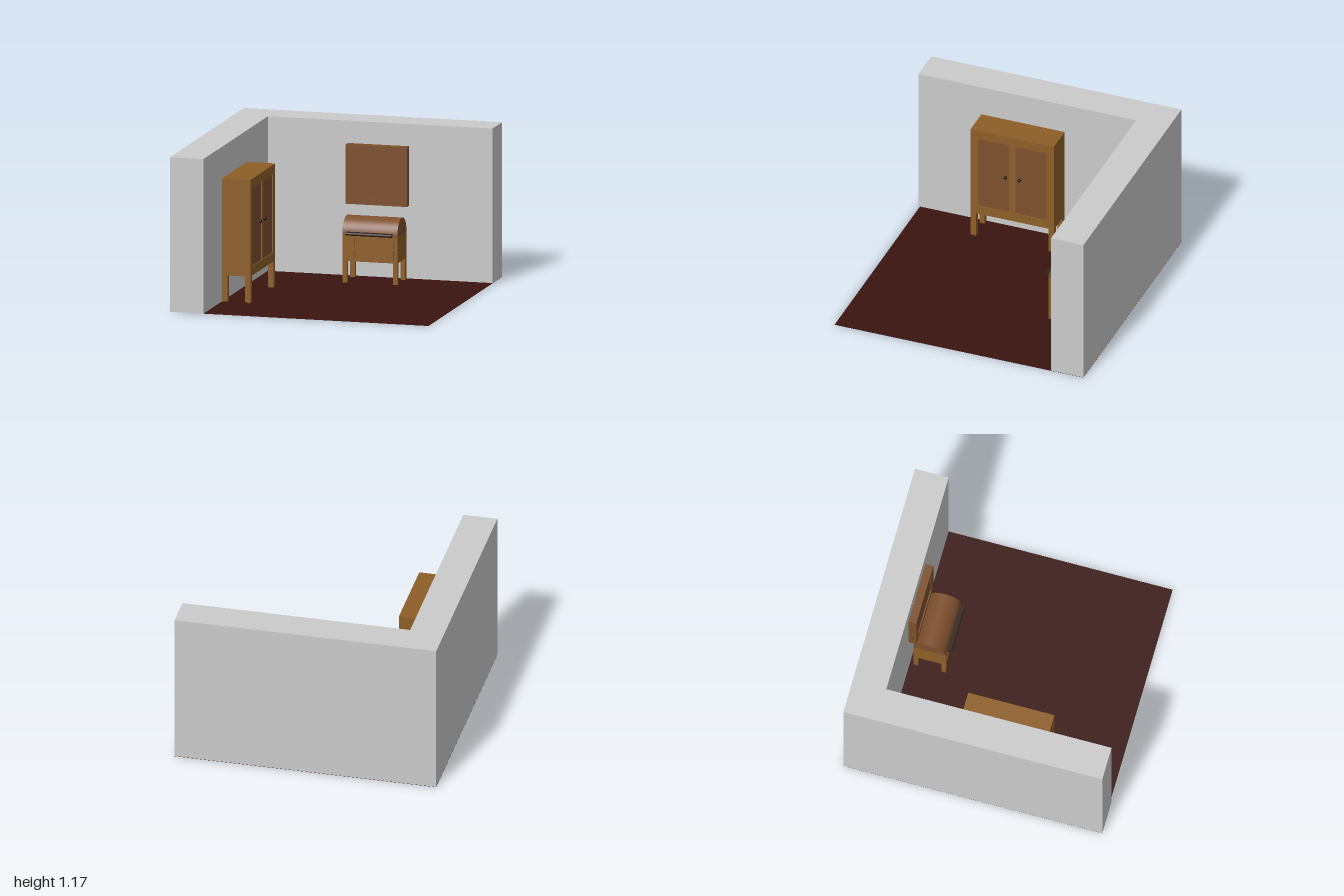
import * as THREE from 'three';

const mat = (color, side = THREE.FrontSide) => new THREE.MeshStandardMaterial({ color, side });
const GREY = mat(0xcccccc);
const OAK = mat(0x8e5f28);
const WALNUT = mat(0x7e502e);
const DARK = mat(0x33241a);
const BLACK = mat(0x14100c);
const FLOOR = mat(0x3a1410, THREE.DoubleSide);

function add(parent, name, geometry, material, x = 0, y = 0, z = 0) {
  const mesh = new THREE.Mesh(geometry, material);
  mesh.name = name;
  mesh.position.set(x, y, z);
  parent.add(mesh);
  return mesh;
}

// Box given by its minimum and maximum corners
function box(parent, name, material, [x0, y0, z0], [x1, y1, z1]) {
  return add(parent, name, new THREE.BoxGeometry(x1 - x0, y1 - y0, z1 - z0), material,
    (x0 + x1) / 2, (y0 + y1) / 2, (z0 + z1) / 2);
}

function rect(Type, x0, y0, x1, y1) {
  const r = new Type();
  r.moveTo(x0, y0).lineTo(x1, y0).lineTo(x1, y1).lineTo(x0, y1).closePath();
  return r;
}

// Flat board in the xy plane with rectangular openings
function frame(outer, openings, depth) {
  const shape = rect(THREE.Shape, ...outer);
  shape.holes = openings.map((o) => rect(THREE.Path, ...o));
  return new THREE.ExtrudeGeometry(shape, { depth, bevelEnabled: false });
}

// Four square legs at the corners of a footprint
function legs(parent, x0, x1, z0, z1, top, size) {
  for (const x of [x0, x1 - size])
    for (const z of [z0, z1 - size])
      box(parent, 'leg', OAK, [x, 0.002, z], [x + size, top, z + size]);
}

function room() {
  const g = new THREE.Group();
  g.name = 'room';
  const floor = add(g, 'floor', new THREE.PlaneGeometry(2, 1.99), FLOOR, 0, 0, -0.005);
  floor.rotation.x = -Math.PI / 2;
  // L-shaped wall, drawn in plan and extruded upwards
  const plan = new THREE.Shape();
  plan.moveTo(-1, -1).lineTo(-0.74, -1).lineTo(-0.74, 0.74).lineTo(1, 0.74).lineTo(1, 1).lineTo(-1, 1).closePath();
  const walls = add(g, 'walls', new THREE.ExtrudeGeometry(plan, { depth: 1.172, bevelEnabled: false }), GREY, 0, 0.002, 0);
  walls.rotation.x = -Math.PI / 2;
  return g;
}

function wardrobe() {
  const g = new THREE.Group();
  g.name = 'wardrobe';
  const w = 0.333, d = 0.22, recess = 0.01;
  box(g, 'wardrobeBody', OAK, [-w, 0.2, 0], [w, 0.935, d - recess]);
  const doors = [[-0.275, 0.27, -0.025, 0.862], [0.025, 0.27, 0.275, 0.862]];
  add(g, 'doorFrame', frame([-w, 0.2, w, 0.935], doors, recess), OAK, 0, 0, d - recess);
  for (const [x0, y0, x1, y1] of doors)
    box(g, 'doorPanel', WALNUT, [x0, y0, d - recess], [x1, y1, d - recess + 0.003]);
  for (const s of [-1, 1])
    add(g, 'doorKnob', new THREE.SphereGeometry(0.013, 16, 12), BLACK, s * 0.055, 0.57, d);
  legs(g, -w, w, 0, d, 0.2, 0.042);
  g.rotation.y = Math.PI / 2;
  g.position.set(-0.74, 0, 0.165);
  return g;
}

function desk() {
  const g = new THREE.Group();
  g.name = 'rollTopDesk';
  const w = 0.213, d = 0.125;
  box(g, 'deskBody', OAK, [-w, 0.165, -d], [w, 0.365, d]);
  // Half-round lid lying along x
  const lid = add(g, 'rollTop', new THREE.CylinderGeometry(d, d, w * 2, 48, 1, false, 0, Math.PI), WALNUT, 0, 0.365, 0);
  lid.rotation.z = Math.PI / 2;
  // Pull bar with a rounded front edge
  box(g, 'pullBar', DARK, [-0.177, 0.364, d - 0.02], [0.177, 0.388, d + 0.026]);
  const edge = add(g, 'pullBarEdge', new THREE.CylinderGeometry(0.012, 0.012, 0.354, 16), DARK, 0, 0.376, d + 0.026);
  edge.rotation.z = Math.PI / 2;
  // Two rows of four drawers
  for (let col = 0; col < 4; col++)
    for (const y of [0.195, 0.276]) {
      const x = -0.181 + col * 0.099;
      box(g, 'drawer', OAK, [x, y, d - 0.01], [x + 0.066, y + 0.066, d + 0.005]);
    }
  legs(g, -w, w, -d, d, 0.165, 0.035);
  g.position.set(0.129, 0, -0.587);
  return g;
}

function wallCabinet() {
  const g = new THREE.Group();
  g.name = 'wallCabinet';
  const outer = [-0.237, 0.555, 0.237, 1.005];
  box(g, 'cabinetBack', WALNUT, [-0.237, 0.555, 0], [0.237, 1.005, 0.05]);
  add(g, 'cabinetFrame', frame(outer, [[-0.19, 0.603, 0.19, 0.961]], 0.01), WALNUT, 0, 0, 0.05);
  add(g, 'cabinetKnob', new THREE.SphereGeometry(0.008, 12, 8), BLACK, -0.234, 0.675, 0.03);
  g.position.set(0.117, 0, -0.74);
  return g;
}

export function createModel() {
  const model = new THREE.Group();
  model.name = 'furnishedRoomCorner';
  model.add(room(), wardrobe(), desk(), wallCabinet());
  return model;
}
